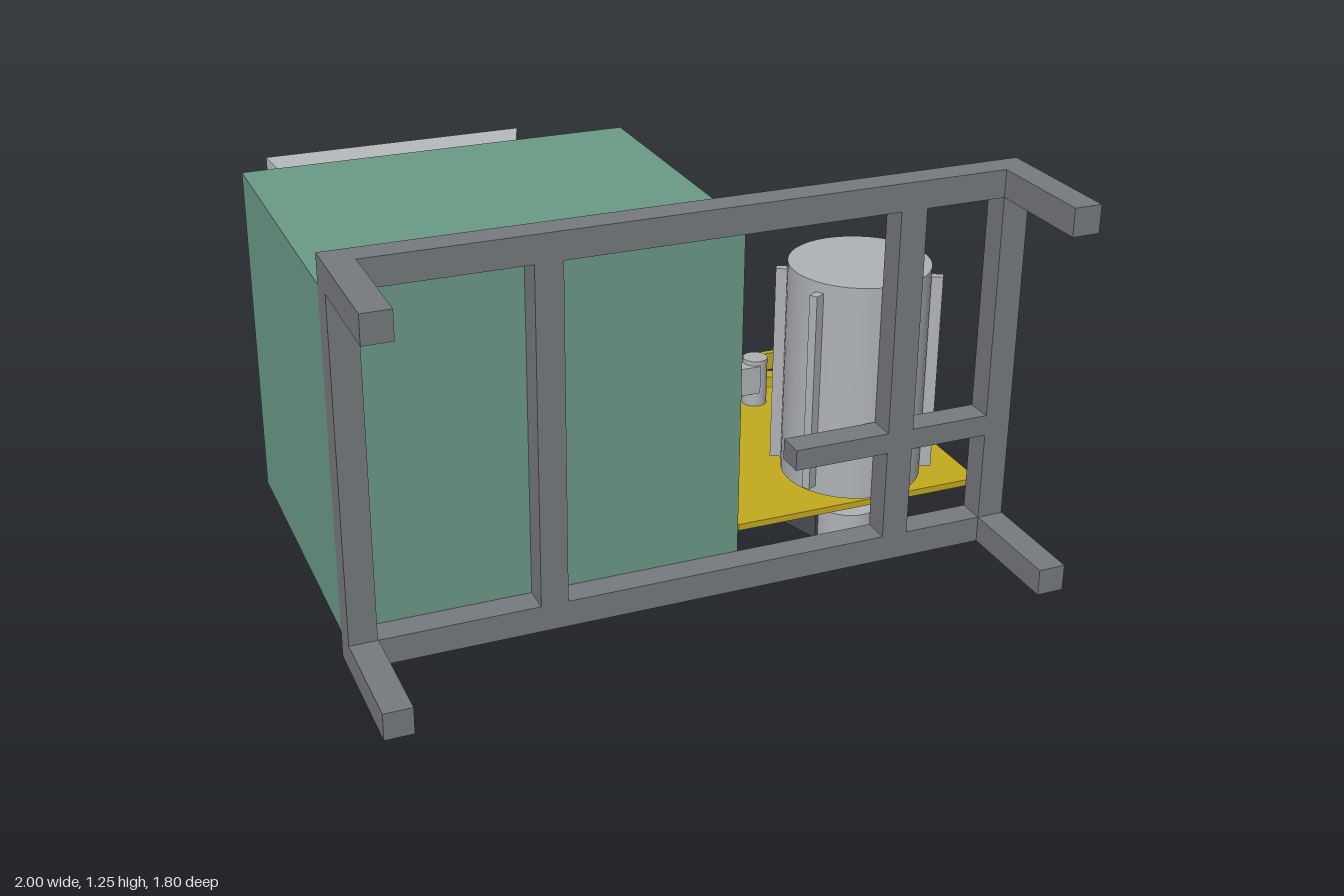
import * as THREE from 'three';
import { toCreasedNormals } from 'three/addons/utils/BufferGeometryUtils.js';

function material(name, color) {
  const m = new THREE.MeshStandardMaterial({ color });
  m.name = name;
  return m;
}

export function createModel() {
  const model = new THREE.Group();
  model.name = 'beltDrivenMachine';
  const steel = material('frame grey', 0x777a7f);
  const metal = material('light metal', 0xb0b3b6);
  const green = material('cabinet green', 0x6b9a87);
  const yellow = material('guard yellow', 0xc4ab1f);
  const rubber = material('belt dark grey', 0x4c4d50);
  const brass = material('brass', 0xa87a20);

  function add(name, geometry, mat, parent = model) {
    const mesh = new THREE.Mesh(geometry, mat);
    mesh.name = name;
    parent.add(mesh);
    return mesh;
  }
  // Box given by its extents on each axis
  function box(name, mat, [x0, x1], [y0, y1], [z0, z1], parent) {
    const mesh = add(name, new THREE.BoxGeometry(x1 - x0, y1 - y0, z1 - z0), mat, parent);
    mesh.position.set((x0 + x1) / 2, (y0 + y1) / 2, (z0 + z1) / 2);
    return mesh;
  }
  // Upright cylinder between two heights
  function cylinder(name, mat, x, z, r, y0, y1, parent) {
    const mesh = add(name, new THREE.CylinderGeometry(r, r, y1 - y0, 40), mat, parent);
    mesh.position.set(x, (y0 + y1) / 2, z);
    return mesh;
  }

  // Tubular frame with four feet pointing forward
  const frame = new THREE.Group();
  frame.name = 'frame';
  model.add(frame);
  const depth = [0.49, 0.57];
  for (const y of [[0.105, 0.183], [1.17, 1.25]]) {
    box('rail', steel, [-1, 0.96], y, depth, frame);
    for (const x of [[-1, -0.92], [0.88, 0.96]]) box('foot', steel, x, y, [0.57, 0.9], frame);
  }
  for (const x of [-1, -0.47, 0.565, 0.88]) {
    box('post', steel, [x, x + 0.078], [0.183, 1.17], depth, frame);
  }
  box('motorCrossbar', steel, [0.28, 0.88], [0.45, 0.512], depth, frame);

  // Cabinet with small plugs
  box('cabinet', green, [-1, 0.145], [0.183, 1.167], [-0.41, 0.49]);
  const plug = cylinder('cabinetPlug', brass, -0.92, -0.415, 0.011, 0.25, 0.27);
  plug.rotation.x = Math.PI / 2;
  cylinder('drainPlug', metal, -0.68, 0.09, 0.011, 0.176, 0.19);

  // Hollow flared hopper: four rectangular loops joined by strips
  const loop = (hw, hh, z) => [[-1, -1], [1, -1], [1, 1], [-1, 1]]
    .map(([sx, sy]) => [-0.427 + sx * hw, 0.675 + sy * hh, z]);
  const loops = [
    loop(0.205, 0.162, -0.41), loop(0.408, 0.365, -0.9),
    loop(0.376, 0.333, -0.9), loop(0.173, 0.13, -0.411),
  ];
  const points = [];
  for (let i = 0; i < loops.length - 1; i++) {
    for (let j = 0; j < 4; j++) {
      const k = (j + 1) % 4;
      const [a, b, c, d] = [loops[i][j], loops[i][k], loops[i + 1][j], loops[i + 1][k]];
      points.push(...a, ...c, ...b, ...b, ...c, ...d);
    }
  }
  const hopperGeometry = new THREE.BufferGeometry();
  hopperGeometry.setAttribute('position', new THREE.Float32BufferAttribute(points, 3));
  hopperGeometry.computeVertexNormals();
  add('hopper', hopperGeometry, metal);

  // Motor with cooling fins, terminal box, shaft and pulley
  const motor = new THREE.Group();
  motor.name = 'motor';
  model.add(motor);
  const cx = 0.603, mz = 0.285;
  cylinder('motorBody', metal, cx, mz, 0.205, 0.267, 0.92, motor);
  for (let i = 0; i < 6; i++) {
    const a = Math.PI / 6 + i * Math.PI / 3;
    const fin = add('coolingFin', new THREE.BoxGeometry(0.05, 0.6, 0.025), metal, motor);
    fin.position.set(cx + 0.212 * Math.cos(a), 0.59, mz - 0.212 * Math.sin(a));
    fin.rotation.y = a;
  }
  box('terminalBox', metal, [0.505, 0.7], [0.58, 0.775], [0.01, 0.1], motor);
  cylinder('motorShaft', metal, cx, mz, 0.038, 0.14, 0.27, motor);
  cylinder('motorPulley', metal, cx, mz, 0.097, 0.022, 0.152, motor);

  // Yellow guard plate and rear guard bar
  box('guardPlate', yellow, [0.21, 1], [0.167, 0.187], [-0.46, 0.36]);
  box('guardBar', yellow, [0.23, 0.98], [0.12, 0.182], [-0.74, -0.718]);

  // Five-spoked flywheel
  const wheel = new THREE.Group();
  wheel.name = 'flywheel';
  wheel.position.set(cx, 0, -0.38);
  model.add(wheel);
  const ring = new THREE.Shape().absarc(0, 0, 0.325, 0, Math.PI * 2);
  ring.holes.push(new THREE.Path().absarc(0, 0, 0.272, 0, Math.PI * 2, true));
  const rim = new THREE.ExtrudeGeometry(ring, { depth: 0.13, bevelEnabled: false, curveSegments: 48 });
  rim.rotateX(-Math.PI / 2);
  add('rim', toCreasedNormals(rim, 0.6), yellow, wheel).position.y = 0.022;
  for (let i = 0; i < 5; i++) {
    const a = Math.PI / 2 + i * Math.PI * 0.4;
    const spoke = add('spoke', new THREE.BoxGeometry(0.24, 0.045, 0.04), yellow, wheel);
    spoke.position.set(0.165 * Math.cos(a), 0.087, -0.165 * Math.sin(a));
    spoke.rotation.y = a;
  }
  cylinder('hub', yellow, 0, 0, 0.065, 0, 0.167, wheel);
  cylinder('wheelShaft', metal, 0, 0, 0.04, 0.16, 0.345, wheel);

  // Drive arm into the cabinet
  box('driveArm', metal, [0.015, 0.603], [0.235, 0.33], [-0.427, -0.335]);

  // Two straight belt runs between pulley and flywheel
  for (const side of [-1, 1]) {
    const dx = 0.23 * side, dz = -0.66;
    const belt = add('belt', new THREE.BoxGeometry(0.02, 0.08, Math.hypot(dx, dz)), rubber);
    belt.position.set(cx + side * 0.212, 0.086, mz + dz / 2);
    belt.rotation.y = Math.atan2(dx, dz);
  }
  return model;
}
